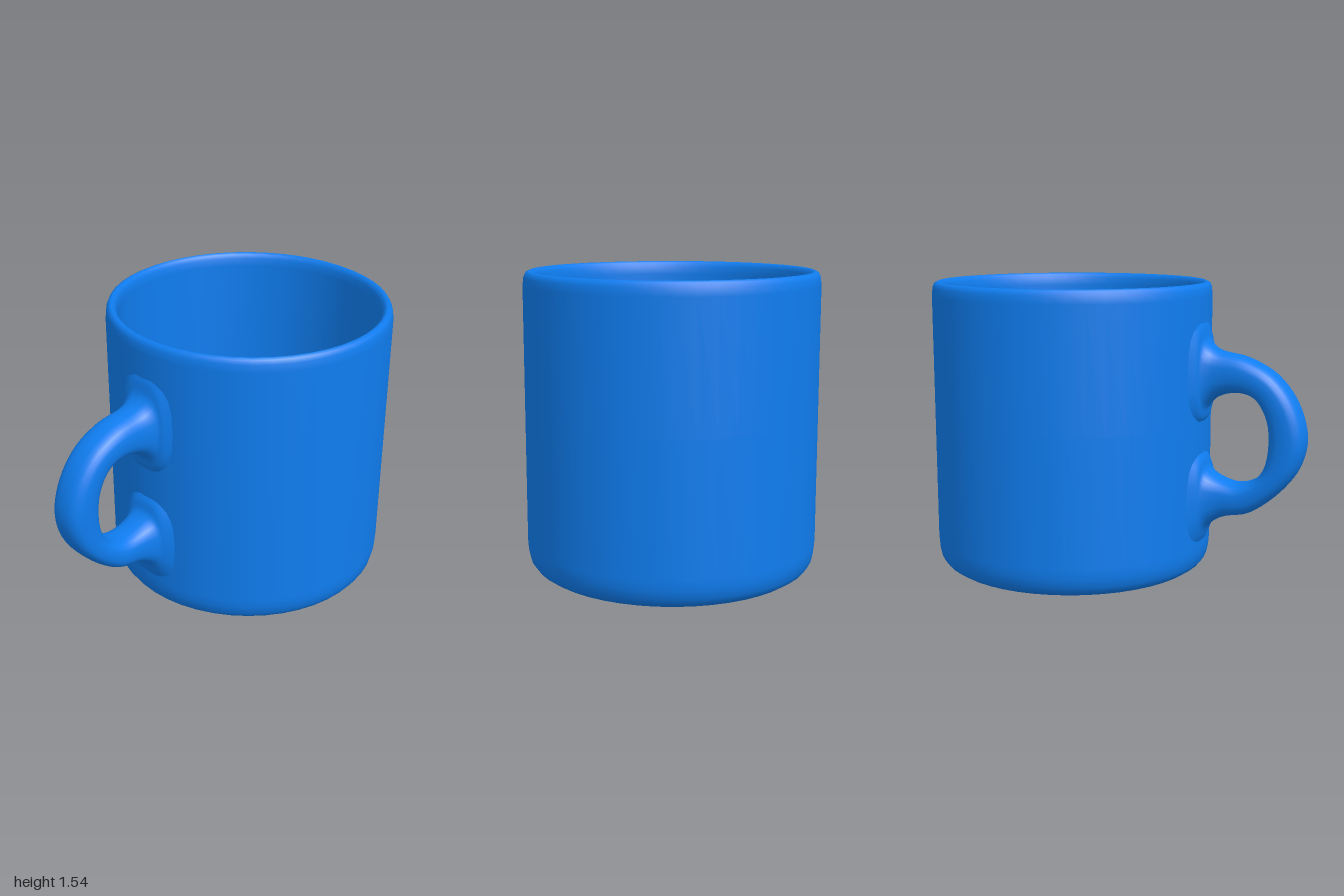
import * as THREE from 'three';

const material = new THREE.MeshStandardMaterial({ color: 0x0f7df0 });
const CUP_Z = -0.27;

// Cup: one closed wall profile, from under the base, over the rim, to the inside floor
function createCup() {
  const profile = [
    [0, 0.005], [0.25, 0.012], [0.48, 0.03], [0.66, 0.052], [0.695, 0.075], [0.716, 0.105],
    [0.726, 0.15], [0.73, 0.2], [0.73, 0.85], [0.73, 1.48], [0.725, 1.52], [0.716, 1.54], [0.7, 1.548],
    [0.684, 1.54], [0.675, 1.52], [0.67, 1.48], [0.67, 0.85], [0.67, 0.24],
    [0.66, 0.18], [0.635, 0.135], [0.58, 0.11], [0.4, 0.09], [0, 0.075],
  ].map(([r, y]) => new THREE.Vector2(r, y));
  const cup = new THREE.Mesh(new THREE.LatheGeometry(profile, 48), material);
  cup.name = 'cup';
  cup.position.z = CUP_Z;
  return cup;
}

// Handle: rounded-square sections between an outer and an inner edge, flared into the wall
function createHandle() {
  // outer z, outer y, inner z, inner y, half width
  const stations = [
    [0.435, 1.40, 0.435, 0.83, 0.18],
    [0.465, 1.34, 0.470, 0.87, 0.145],
    [0.485, 1.27, 0.485, 0.93, 0.122],
    [0.535, 1.225, 0.54, 0.985, 0.104],
    [0.69, 1.19, 0.65, 1.013, 0.1],
    [0.84, 1.11, 0.735, 0.99, 0.1],
    [0.95, 0.97, 0.795, 0.90, 0.1],
    [0.998, 0.80, 0.812, 0.77, 0.1],
    [0.965, 0.65, 0.79, 0.64, 0.1],
    [0.87, 0.52, 0.74, 0.578, 0.1],
    [0.72, 0.405, 0.65, 0.55, 0.1],
    [0.58, 0.37, 0.56, 0.57, 0.104],
    [0.50, 0.315, 0.495, 0.61, 0.122],
    [0.468, 0.245, 0.472, 0.67, 0.145],
    [0.435, 0.18, 0.435, 0.72, 0.18],
  ];
  // the x of each curve carries the half width
  const outer = new THREE.CatmullRomCurve3(stations.map((s) => new THREE.Vector3(s[4], s[1], s[0])));
  const inner = new THREE.CatmullRomCurve3(stations.map((s) => new THREE.Vector3(s[4], s[3], s[2])));
  const rounded = (v) => Math.sign(v) * Math.abs(v) ** 0.75;

  const steps = 70, sides = 24, positions = [], index = [];
  for (let i = 0; i <= steps; i++) {
    const a = outer.getPoint(i / steps), b = inner.getPoint(i / steps);
    for (let j = 0; j < sides; j++) {
      const angle = (j / sides) * Math.PI * 2;
      const c = rounded(Math.cos(angle)), s = rounded(Math.sin(angle));
      positions.push(
        a.x * s,
        (a.y + b.y) / 2 + ((a.y - b.y) / 2) * c,
        (a.z + b.z) / 2 + ((a.z - b.z) / 2) * c,
      );
      if (i < steps) {
        const k = (j + 1) % sides, p = i * sides, q = p + sides;
        index.push(p + j, q + j, p + k, q + j, q + k, p + k);
      }
    }
  }
  const geometry = new THREE.BufferGeometry();
  geometry.setAttribute('position', new THREE.Float32BufferAttribute(positions, 3));
  geometry.setIndex(index);
  geometry.computeVertexNormals();
  const handle = new THREE.Mesh(geometry, material);
  handle.name = 'handle';
  return handle;
}

export function createModel() {
  const mug = new THREE.Group();
  mug.name = 'mug';
  mug.add(createCup(), createHandle());
  return mug;
}
